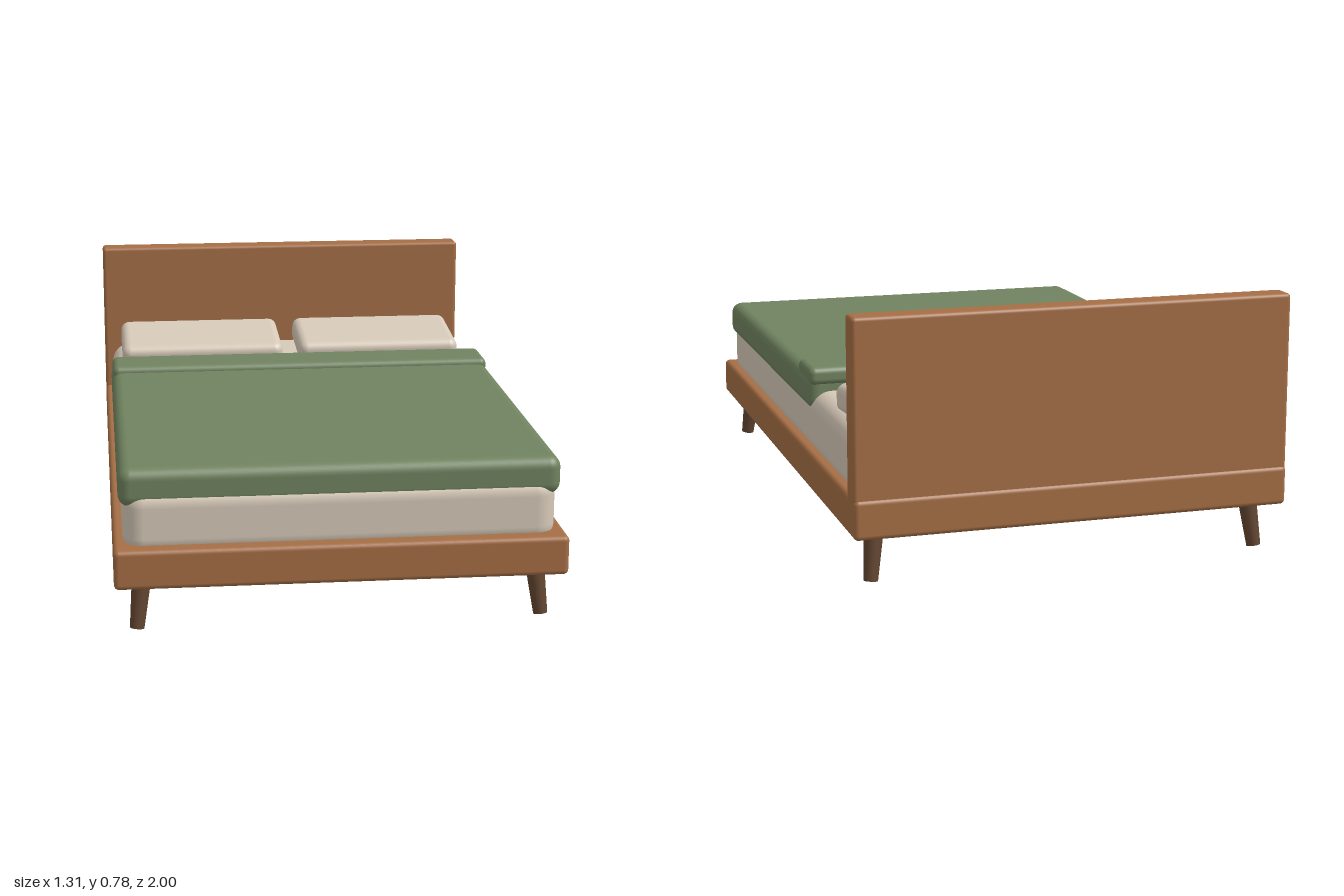
import * as THREE from 'three';
import { RoundedBoxGeometry } from 'three/addons/geometries/RoundedBoxGeometry.js';

const mat = (color) => new THREE.MeshStandardMaterial({ color });

export function createModel() {
  const bed = new THREE.Group();
  bed.name = 'bed';
  const wood = mat(0xa56e45), darkWood = mat(0x624530);
  const linen = mat(0xd6c9b8), green = mat(0x70835f);

  // Rounded box given by its [min, max] extents
  function block(name, [x0, x1], [y0, y1], [z0, z1], radius, material) {
    const geo = new RoundedBoxGeometry(x1 - x0, y1 - y0, z1 - z0, 5, radius);
    const mesh = new THREE.Mesh(geo, material);
    mesh.name = name;
    mesh.position.set((x0 + x1) / 2, (y0 + y1) / 2, (z0 + z1) / 2);
    bed.add(mesh);
    return mesh;
  }

  // Wooden frame
  block('frame', [-0.655, 0.655], [0.145, 0.262], [-1, 1], 0.015, wood);
  block('headboard', [-0.655, 0.655], [0.2, 0.777], [-0.994, -0.915], 0.012, wood);

  // Bedding
  block('mattress', [-0.627, 0.627], [0.22, 0.43], [-0.917, 0.955], 0.06, linen);
  block('blanket', [-0.638, 0.638], [0.37, 0.485], [-0.352, 0.948], 0.035, green);
  block('blanketFold', [-0.634, 0.634], [0.449, 0.505], [-0.36, -0.19], 0.02, green);

  // Pillows and tapered, splayed legs, mirrored left and right
  for (const s of [1, -1]) {
    const side = s > 0 ? 'left' : 'right';
    const pillow = block(side + 'Pillow', [s * 0.313 - 0.283, s * 0.313 + 0.283],
      [0.42, 0.51], [-0.844, -0.526], 0.03, linen);
    pillow.rotation.x = 0.1;

    for (const f of [1, -1]) {
      const top = new THREE.Vector3(s * 0.573, 0.165, f * 0.898);
      const foot = new THREE.Vector3(s * 0.591, 0.004, f * 0.922);
      const axis = top.clone().sub(foot);
      const leg = new THREE.Mesh(
        new THREE.CylinderGeometry(0.029, 0.021, axis.length(), 20), darkWood);
      leg.name = side + (f > 0 ? 'FrontLeg' : 'BackLeg');
      leg.position.copy(top).add(foot).multiplyScalar(0.5);
      leg.quaternion.setFromUnitVectors(new THREE.Vector3(0, 1, 0), axis.normalize());
      bed.add(leg);
    }
  }
  return bed;
}
